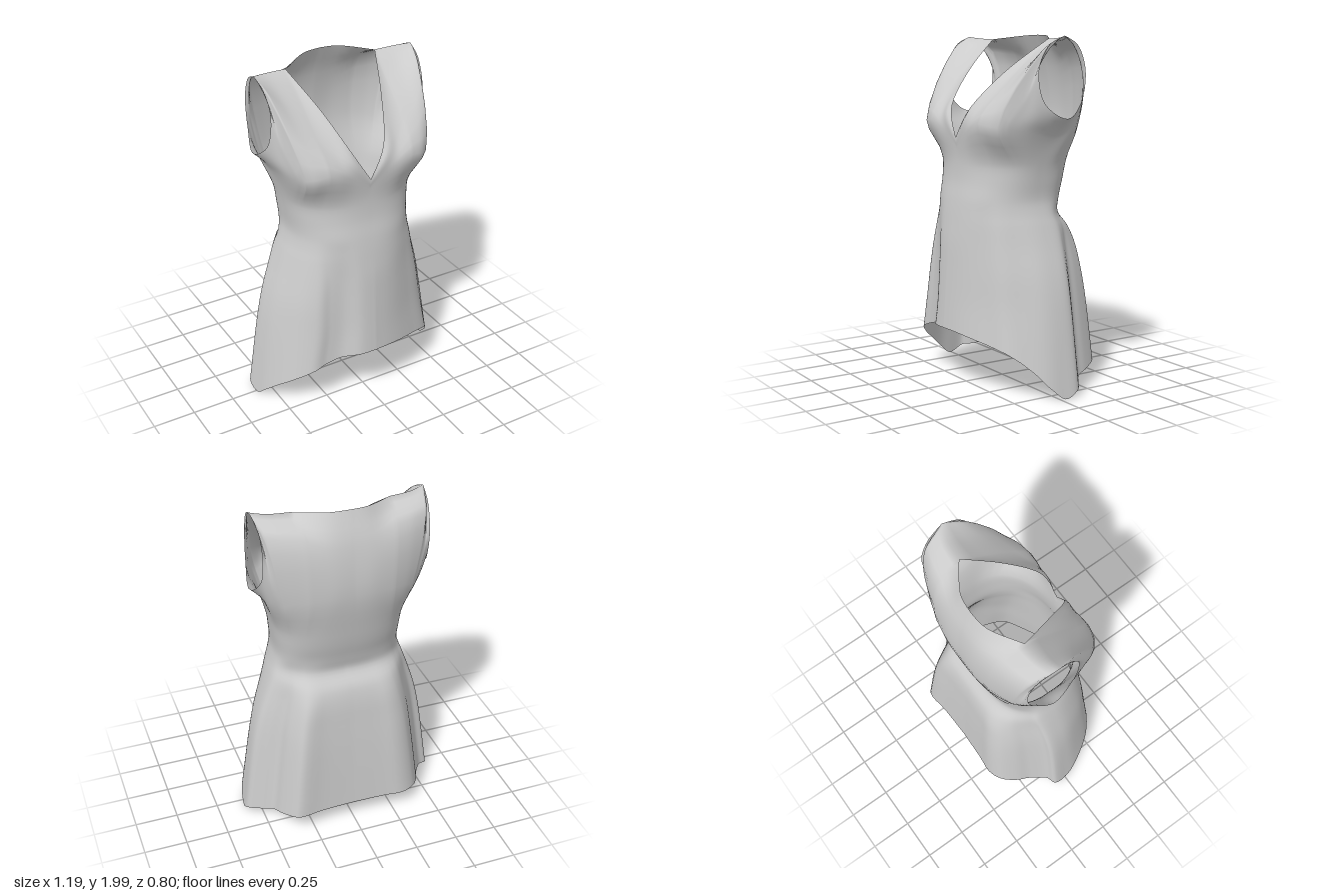
import * as THREE from 'three';
import { mergeVertices } from 'three/addons/utils/BufferGeometryUtils.js';

// Body rings: height, half width, front z, back z, droop at the back, share of the skirt section
const RINGS = [
  [0.5, 0.53, 0.39, -0.368, 0, 1],
  [0.68, 0.492, 0.378, -0.35, 0, 0.9],
  [0.84, 0.442, 0.366, -0.33, -0.01, 0.7],
  [0.95, 0.405, 0.352, -0.3, -0.03, 0.4],
  [1.02, 0.38, 0.342, -0.242, -0.02, 0.2],
  [1.09, 0.364, 0.33, -0.252, -0.01, 0],
  [1.19, 0.37, 0.31, -0.282, 0, 0],
  [1.3, 0.385, 0.302, -0.305, 0, 0],
];
const HEM = { width: 0.595, front: 0.4, back: -0.395 };

// Skirt section at the hem, front to back: angle, left x, left z, right x (mirrored), right z
const SKIRT = [
  [0, 0, 0.4, 0, 0.4],
  [12, 0.1, 0.387, 0.1, 0.39],
  [25, 0.2, 0.36, 0.2, 0.34],
  [38, 0.32, 0.31, 0.29, 0.323],
  [50, 0.43, 0.255, 0.38, 0.315],
  [65, 0.505, 0.165, 0.485, 0.235],
  [80, 0.57, 0.065, 0.565, 0.105],
  [92, 0.592, -0.03, 0.593, 0.01],
  [104, 0.587, -0.115, 0.596, -0.08],
  [113, 0.53, -0.165, 0.54, -0.11],
  [125, 0.458, -0.22, 0.48, -0.2],
  [134, 0.43, -0.29, 0.445, -0.28],
  [146, 0.375, -0.38, 0.385, -0.358],
  [155, 0.32, -0.402, 0.3, -0.394],
  [165, 0.2, -0.387, 0.19, -0.386],
  [180, 0, -0.38, 0, -0.38],
];

// Columns of one half: angle, hem height, chest point, upper point, top edge point
const FRONT = [
  [0, 0.35, 0, 1.375, 0.305, 0, 1.405, 0.31, 0, 1.43, 0.312],
  [12, 0.345, 0.1, 1.45, 0.315, 0.1, 1.54, 0.312, 0.1, 1.6, 0.275],
  [25, 0.33, 0.19, 1.5, 0.325, 0.19, 1.61, 0.26, 0.19, 1.8, 0.1],
  [38, 0.305, 0.26, 1.52, 0.325, 0.27, 1.7, 0.185, 0.28, 1.975, -0.12],
  [50, 0.27, 0.33, 1.51, 0.31, 0.37, 1.8, 0.11, 0.4, 1.98, -0.11],
  [60, 0.225, 0.38, 1.5, 0.275, 0.465, 1.92, 0.04, 0.49, 1.99, -0.08],
  [65, 0.195, 0.395, 1.5, 0.25, 0.45, 1.72, 0.12, 0.48, 1.935, 0.02],
  [71, 0.155, 0.41, 1.49, 0.21, 0.45, 1.63, 0.13, 0.475, 1.8, 0.078],
  [80, 0.085, 0.43, 1.47, 0.1, 0.465, 1.55, 0.07, 0.485, 1.63, 0.045],
  [92, 0.01, 0.42, 1.43, -0.06, 0.455, 1.49, -0.08, 0.51, 1.545, -0.09],
];
const BACK = [
  [104, 0.045, 0.43, 1.46, -0.17, 0.455, 1.55, -0.195, 0.475, 1.64, -0.21],
  [113, 0.06, 0.41, 1.48, -0.22, 0.44, 1.63, -0.24, 0.47, 1.8, -0.238],
  [119, 0.07, 0.39, 1.49, -0.245, 0.435, 1.7, -0.25, 0.475, 1.935, -0.185],
  [125, 0.08, 0.37, 1.5, -0.265, 0.45, 1.9, -0.225, 0.49, 1.99, -0.08],
  [134, 0.1, 0.32, 1.52, -0.292, 0.36, 1.89, -0.255, 0.4, 1.98, -0.11],
  [146, 0.125, 0.24, 1.53, -0.322, 0.26, 1.88, -0.275, 0.28, 1.975, -0.12],
  [162, 0.13, 0.11, 1.54, -0.342, 0.12, 1.82, -0.31, 0.12, 1.995, -0.225],
  [180, 0.13, 0, 1.54, -0.342, 0, 1.82, -0.312, 0, 2, -0.245],
];
const KEYS = [...FRONT, ...BACK];
// Corners of the top edge: neckline, shoulder, armhole, shoulder, back neck
const CORNERS = [0, 3, 5, 13, 15, 17];
const STEPS = 5;

const catmull = (a, b, c, d, t) =>
  b + 0.5 * t * (c - a + t * (2 * a - 5 * b + 4 * c - d + t * (3 * (b - c) + d - a)));

// Smooth columns between the corners of the top edge
function makeColumns() {
  const columns = [];
  for (let s = 0; s < CORNERS.length - 1; s++) {
    const lo = CORNERS[s], hi = CORNERS[s + 1];
    const key = (i) => KEYS[THREE.MathUtils.clamp(i, lo, hi)];
    for (let i = lo; i < hi; i++) {
      for (let k = 0; k < STEPS; k++) {
        columns.push(key(i).map((b, n) => catmull(key(i - 1)[n], b, key(i + 1)[n], key(i + 2)[n], k / STEPS)));
      }
    }
  }
  columns.push(KEYS[KEYS.length - 1]);
  return columns;
}

// Skirt section at an angle in degrees, as fractions of width and depth
function skirtPoint(deg, side) {
  const last = SKIRT.length - 1;
  let i = 0;
  while (i < last - 1 && SKIRT[i + 1][0] < deg) i++;
  const row = (n) => SKIRT[THREE.MathUtils.clamp(n, 0, last)];
  const t = (deg - row(i)[0]) / (row(i + 1)[0] - row(i)[0]);
  const at = (n) => catmull(row(i - 1)[n], row(i)[n], row(i + 1)[n], row(i + 2)[n], t);
  const x = at(side > 0 ? 1 : 3), z = at(side > 0 ? 2 : 4);
  return [x / HEM.width, z > 0 ? z / HEM.front : z / -HEM.back];
}

// Point on the body: rounded torso section blended with the folded skirt section
function ringPoint(deg, side, y, width, front, back, skirt) {
  const a = THREE.MathUtils.degToRad(deg);
  const c = Math.cos(a);
  const [sx, sz] = skirtPoint(deg, side);
  const tx = deg === 180 ? 0 : Math.sin(a) ** 0.8;
  const tz = c > 0 ? c ** 0.9 : -((-c) ** 0.68);
  const z = THREE.MathUtils.lerp(tz, sz, skirt);
  return new THREE.Vector3(width * THREE.MathUtils.lerp(tx, sx, skirt), y, z > 0 ? front * z : -back * z);
}

// One column of cloth from the hem up to the top edge
function columnPoints(col, side) {
  const behind = Math.max(0, -Math.cos(THREE.MathUtils.degToRad(col[0])));
  const points = [ringPoint(col[0], side, col[1], HEM.width, HEM.front, HEM.back, 1)];
  for (const [y, w, f, b, droop, skirt] of RINGS) {
    points.push(ringPoint(col[0], side, y + droop * behind, w, f, b, skirt));
  }
  for (let n = 2; n < 11; n += 3) points.push(new THREE.Vector3(col[n], col[n + 1], col[n + 2]));
  return new THREE.CatmullRomCurve3(points).getPoints((points.length - 1) * 4);
}

function dressGeometry() {
  const keyColumns = makeColumns();
  const positions = [], indices = [];
  for (const side of [1, -1]) {
    const columns = keyColumns.map((col) => columnPoints(col, side));
    const rows = columns[0].length;
    const base = positions.length / 3;
    for (const column of columns) for (const p of column) positions.push(side * p.x, p.y, p.z);
    for (let i = 0; i < columns.length - 1; i++) {
      for (let j = 0; j < rows - 1; j++) {
        const a = base + i * rows + j, b = a + rows, c = b + 1, d = a + 1;
        if (side > 0) indices.push(a, b, c, a, c, d);
        else indices.push(a, c, b, a, d, c);
      }
    }
  }
  const geometry = new THREE.BufferGeometry();
  geometry.setAttribute('position', new THREE.Float32BufferAttribute(positions, 3));
  geometry.setIndex(indices);
  // Join the halves and the shoulder seams so the shading runs through
  const joined = mergeVertices(geometry, 1e-4);
  joined.computeVertexNormals();
  return joined;
}

export function createModel() {
  const group = new THREE.Group();
  group.name = 'sleevelessDress';
  const material = new THREE.MeshStandardMaterial({ color: 0xcccccc, side: THREE.DoubleSide });
  const dress = new THREE.Mesh(dressGeometry(), material);
  dress.name = 'dressCloth';
  group.add(dress);
  return group;
}
